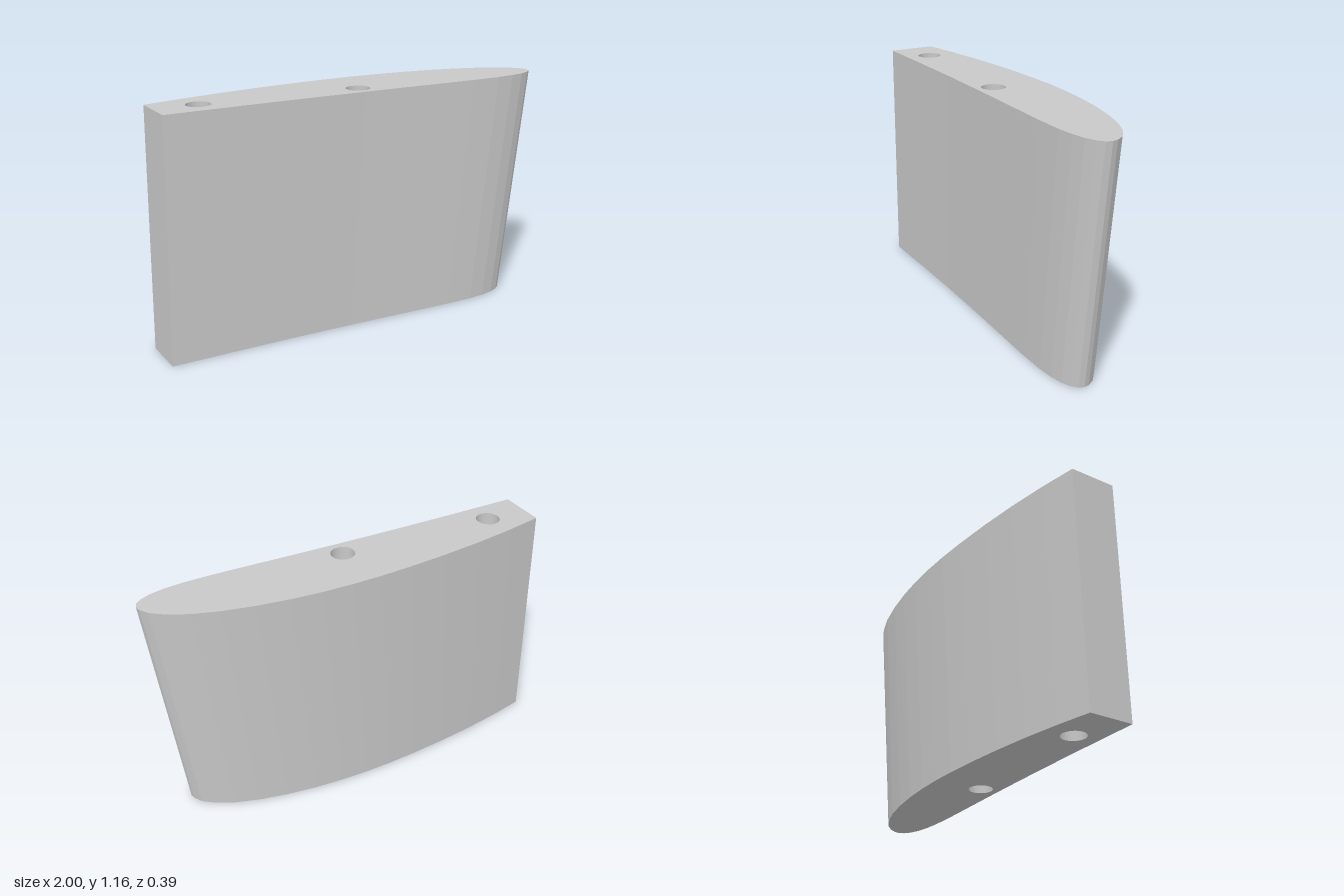
import * as THREE from 'three';

const HEIGHT = 1.163;
const HOLE_RADIUS = 0.058;
const HOLES = [[-0.77, 0], [0.01, 0.064]]; // x, z

// Upper wing section as x, z: back curve, rounded nose, front curve
const SECTION = [
  [-0.98, -0.112], [-0.8, -0.142], [-0.6, -0.167], [-0.4, -0.184], [-0.2, -0.194], [-0.04, -0.197],
  [0.1, -0.194], [0.25, -0.184], [0.4, -0.166], [0.55, -0.139], [0.7, -0.101], [0.82, -0.057],
  [0.91, -0.01], [0.97, 0.04], [0.995, 0.08], [1, 0.107], [0.99, 0.135], [0.96, 0.158],
  [0.91, 0.177], [0.84, 0.189], [0.75, 0.194], [0.6, 0.19], [0.45, 0.181], [0.2, 0.165],
  [0, 0.153], [-0.3, 0.138], [-0.6, 0.127], [-0.98, 0.117],
];

export function createModel() {
  const group = new THREE.Group();
  group.name = 'wingSection';
  const grey = new THREE.MeshStandardMaterial({ color: 0xc8c8c8, flatShading: true });
  grey.name = 'light grey';

  // Wing outline with two round spar holes
  const shape = new THREE.Shape(SECTION.map(([x, z]) => new THREE.Vector2(x, -z)).reverse());
  for (const [x, z] of HOLES) {
    shape.holes.push(new THREE.Path().absarc(x, -z, HOLE_RADIUS, 0, Math.PI * 2, true));
  }
  const geometry = new THREE.ExtrudeGeometry(shape, { depth: HEIGHT, bevelEnabled: false, curveSegments: 20 });
  geometry.rotateX(-Math.PI / 2);

  // Taper the skin toward the base while the holes stay vertical
  const p = geometry.attributes.position;
  for (let i = 0; i < p.count; i++) {
    const x = p.getX(i), z = p.getZ(i);
    const inHole = HOLES.some(([hx, hz]) => Math.hypot(x - hx, z - hz) < HOLE_RADIUS + 0.005);
    if (inHole || p.getY(i) > HEIGHT / 2) continue;
    p.setX(i, -1 + (x + 0.98) * 0.94);
    p.setZ(i, z * 0.952 + 0.004);
  }
  geometry.computeVertexNormals();

  const wing = new THREE.Mesh(geometry, grey);
  wing.name = 'wingBody';
  group.add(wing);
  return group;
}
